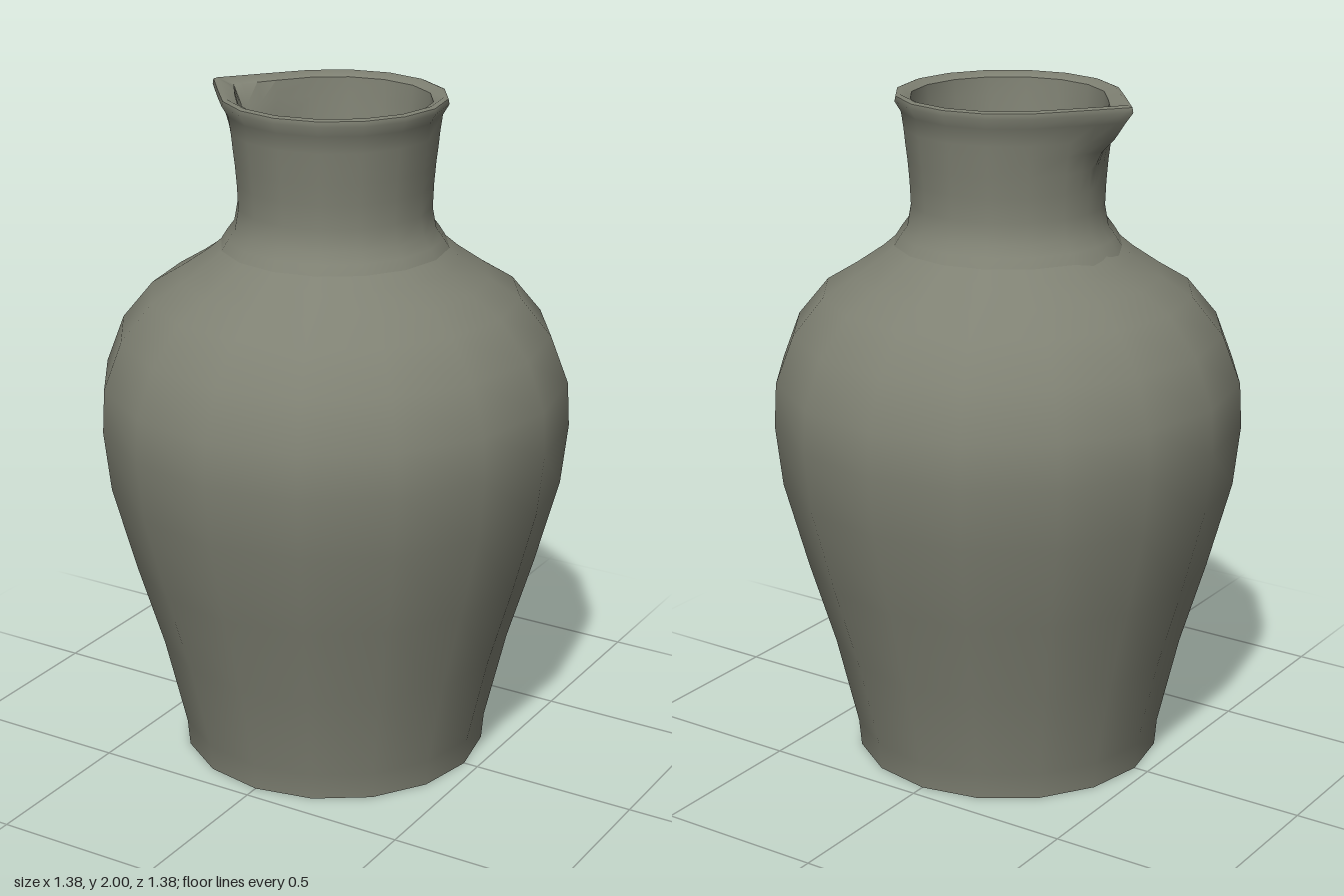
import * as THREE from 'three';
import { toCreasedNormals } from 'three/addons/utils/BufferGeometryUtils.js';

const SIDES = 16;

// Body outline: [radius, height]
const BODY = [
  [0.455, 0], [0.462, 0.08], [0.525, 0.35], [0.6, 0.6], [0.67, 0.86], [0.69, 1.04],
  [0.683, 1.17], [0.63, 1.31], [0.54, 1.42], [0.45, 1.475], [0.37, 1.53], [0.3, 1.59],
];

// Neck rings, up the outside and down the inside: [radius, height, spout tip distance]
const NECK = [
  [0.34, 1.55, 0], [0.315, 1.59, 0], [0.293, 1.62, 0], [0.282, 1.68, 0], [0.285, 1.75, 0],
  [0.29, 1.81, 0], [0.296, 1.86, 0.315], [0.3, 1.9, 0.355], [0.307, 1.95, 0.39],
  [0.325, 1.98, 0.413], [0.322, 1.995, 0.41], [0.31, 2, 0.395],
  [0.28, 1.985, 0.34], [0.275, 1.93, 0.315], [0.265, 1.86, 0.28], [0.25, 1.75, 0], [0.237, 1.53, 0],
];

// Sixteen even angles, with a few more around the spout at -x
function ringAngles() {
  const angles = [];
  for (let i = 0; i < SIDES; i++) angles.push((i / SIDES) * Math.PI * 2);
  for (const d of [0.06, 0.2]) angles.push(Math.PI - d, Math.PI + d);
  return angles.sort((a, b) => a - b);
}

// Pulls a circle out to a pointed lip along its two tangents
function spoutRadius(r, tip, angle) {
  if (tip <= r) return r;
  const spread = Math.acos(r / tip);
  const d = Math.abs(angle - Math.PI);
  return d < spread ? r / Math.cos(spread - d) : r;
}

function neckGeometry() {
  const angles = ringAngles(), n = angles.length;
  const pos = [], index = [];
  NECK.forEach(([r, y, tip]) => angles.forEach((a) => {
    const rad = spoutRadius(r, tip, a);
    pos.push(rad * Math.cos(a), y, rad * Math.sin(a));
  }));
  for (let j = 0; j < NECK.length - 1; j++) {
    for (let i = 0; i < n; i++) {
      const a = j * n + i, b = j * n + (i + 1) % n;
      index.push(a, a + n, b, b, a + n, b + n);
    }
  }
  const geo = new THREE.BufferGeometry();
  geo.setAttribute('position', new THREE.Float32BufferAttribute(pos, 3));
  geo.setIndex(index);
  return toCreasedNormals(geo, 0.9);
}

export function createModel() {
  const clay = new THREE.MeshStandardMaterial({ color: 0x7f8173 });
  clay.name = 'grey green clay';
  const group = new THREE.Group();
  group.name = 'pitcher';
  const add = (name, geo) => {
    const mesh = new THREE.Mesh(geo, clay);
    mesh.name = name;
    group.add(mesh);
    return mesh;
  };

  add('body', new THREE.LatheGeometry(BODY.map(([r, y]) => new THREE.Vector2(r, y)), SIDES));
  add('base', new THREE.CircleGeometry(0.455, SIDES)).rotation.x = Math.PI / 2;
  add('neckAndSpout', neckGeometry());

  // Floor seen down the neck
  const floor = add('innerFloor', new THREE.CircleGeometry(0.237, SIDES));
  floor.rotation.x = -Math.PI / 2;
  floor.position.y = 1.53;
  return group;
}
